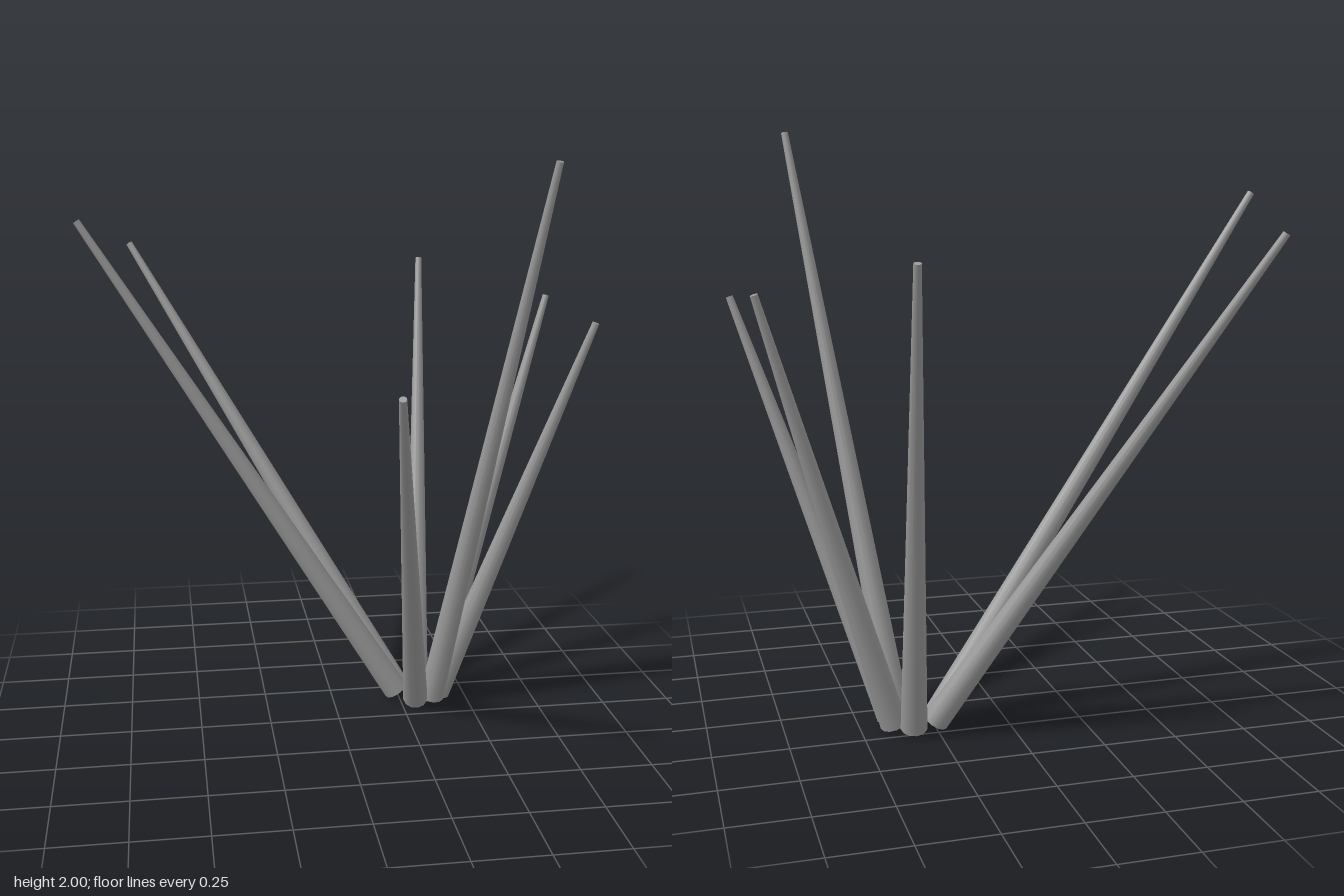
import * as THREE from 'three';

export function createModel() {
  const group = new THREE.Group();
  group.name = 'spikeCluster';
  const grey = new THREE.MeshStandardMaterial({ color: 0x999999 });
  grey.name = 'grey';

  // Spikes fan out from a small ring around this point
  const centre = new THREE.Vector3(0.32, 0.027, -0.165);
  const ringRadius = 0.08;
  const baseRadius = 0.046;
  const tipRadius = 0.012;

  // Centre of each spike's tip
  const tips = [
    [-0.87, 1.792, -0.19],
    [-0.705, 1.667, -0.757],
    [0.07, 1.353, 0.79],
    [0.43, 1.593, -0.79],
    [0.643, 1.997, 0.343],
    [0.836, 1.488, -0.385],
    [0.869, 1.452, 0.095],
  ];

  const up = new THREE.Vector3(0, 1, 0);
  tips.forEach((p, i) => {
    const tip = new THREE.Vector3(...p);
    const outward = tip.clone().sub(centre).setY(0).normalize();
    const base = centre.clone().addScaledVector(outward, ringRadius);
    const axis = tip.clone().sub(base);

    // Tapered round spike leaning outward
    const spike = new THREE.Mesh(
      new THREE.CylinderGeometry(tipRadius, baseRadius, axis.length(), 12), grey);
    spike.name = `spike${i + 1}`;
    spike.position.copy(base).add(tip).multiplyScalar(0.5);
    spike.quaternion.setFromUnitVectors(up, axis.normalize());
    group.add(spike);
  });
  return group;
}
